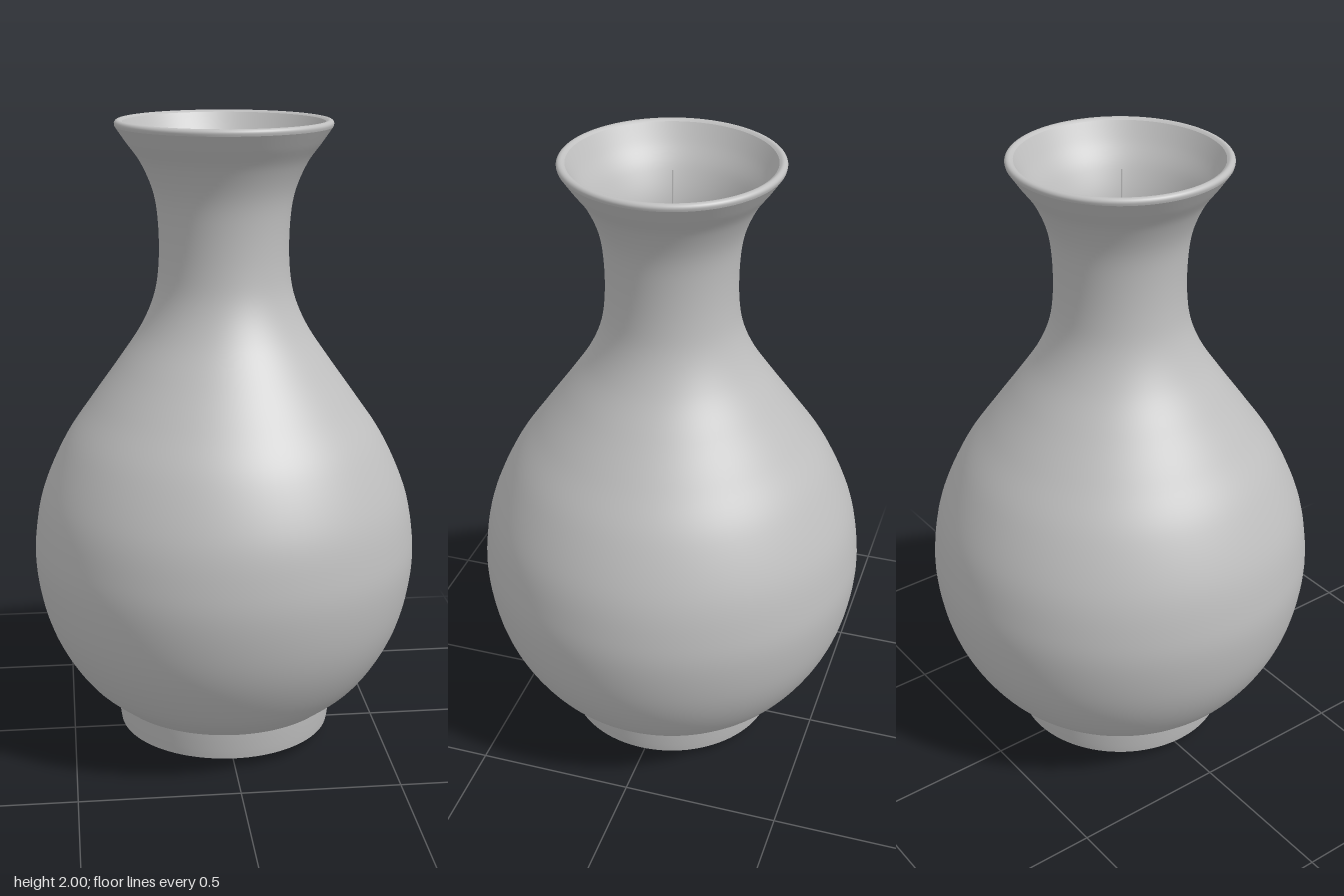
import * as THREE from 'three';

// Smooth profile through [radius, height] points
function spline(points, divisions) {
  const curve = new THREE.SplineCurve(points.map(([r, y]) => new THREE.Vector2(r, y)));
  return curve.getPoints(divisions).map(p => new THREE.Vector2(Math.max(p.x, 0), p.y));
}

export function createModel() {
  const group = new THREE.Group();
  const clay = new THREE.MeshStandardMaterial({ color: 0xbfbfbf });
  const SEGMENTS = 96;

  function turned(name, profile) {
    const mesh = new THREE.Mesh(new THREE.LatheGeometry(profile, SEGMENTS), clay);
    mesh.name = name;
    group.add(mesh);
    return mesh;
  }

  // Slightly domed underside
  turned('underside', spline([[0, 0], [0.1, 0.003], [0.2, 0.009], [0.29, 0.022], [0.342, 0.036]], 16));

  // Foot ring, flaring a little towards the body
  turned('foot', spline([[0.342, 0.036], [0.346, 0.06], [0.351, 0.1], [0.354, 0.13]], 8));
  turned('footLedge', [new THREE.Vector2(0.354, 0.13), new THREE.Vector2(0.366, 0.13)]);

  // Pear-shaped body, neck and flared mouth
  turned('body', spline([
    [0.366, 0.13], [0.458, 0.21], [0.533, 0.32], [0.582, 0.44], [0.608, 0.58], [0.606, 0.7],
    [0.578, 0.84], [0.507, 1.0], [0.42, 1.13], [0.335, 1.25], [0.262, 1.36], [0.219, 1.46],
    [0.203, 1.56], [0.203, 1.68], [0.217, 1.78], [0.254, 1.87], [0.3, 1.935], [0.331, 1.98],
  ], 110));

  // Rounded lip
  turned('rim', spline([[0.331, 1.98], [0.333, 1.99], [0.328, 1.998], [0.318, 2.0], [0.308, 1.994]], 12));

  // Hollow inside, listed from lip to floor so that it faces inwards
  const inside = turned('inside', spline([
    [0.308, 1.994], [0.278, 1.94], [0.235, 1.87], [0.2, 1.78], [0.187, 1.68], [0.187, 1.56],
    [0.203, 1.46], [0.244, 1.36], [0.312, 1.25], [0.392, 1.13], [0.478, 1.0], [0.55, 0.84],
    [0.578, 0.7], [0.58, 0.58], [0.554, 0.44], [0.505, 0.32], [0.43, 0.21], [0.34, 0.15],
  ], 100));
  const floor = turned('floor', [new THREE.Vector2(0.34, 0.15), new THREE.Vector2(0, 0.15)]);

  // The hollow sits slightly off-axis below the lip
  for (const { geometry } of [inside, floor]) {
    const position = geometry.attributes.position;
    for (let i = 0; i < position.count; i++) {
      const depth = THREE.MathUtils.smoothstep(1.994 - position.getY(i), 0, 0.3);
      position.setX(i, position.getX(i) - 0.012 * depth);
    }
  }

  // Hair-thin stem rising inside the vase
  const stem = new THREE.Mesh(new THREE.CylinderGeometry(0.001, 0.002, 1.81, 6), clay);
  stem.name = 'innerStem';
  stem.position.set(-0.01, 0.15 + 1.81 / 2, 0);
  group.add(stem);

  return group;
}
